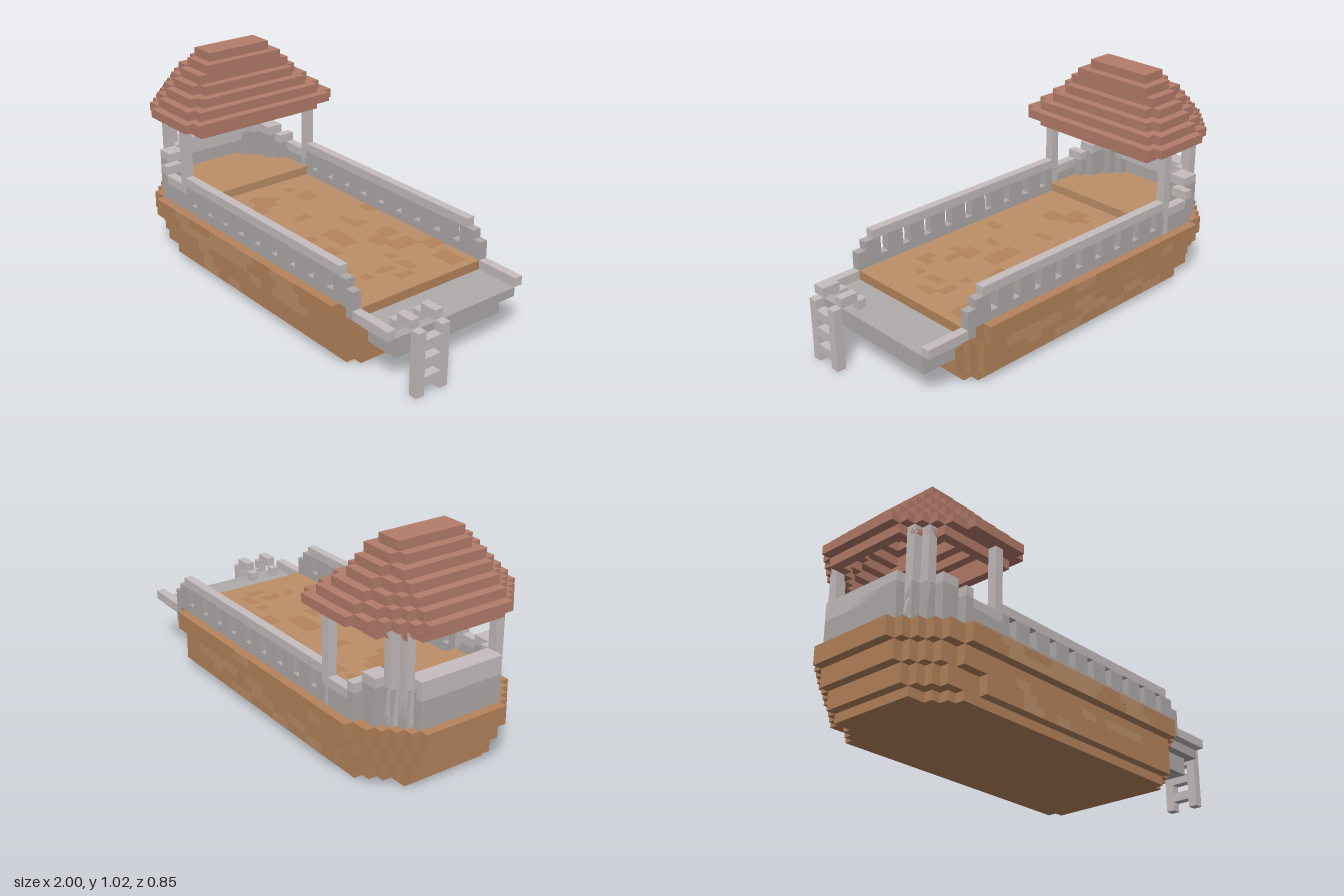
import * as THREE from 'three';

const U = 2 / 47; // one block; x counted from the bow (0..47), y from the ground, z from the centre line
const mat = (color) => new THREE.MeshStandardMaterial({ color, flatShading: true });

export function createModel() {
  const root = new THREE.Group();
  root.name = 'houseboat';
  const wood = mat(0xb5845c), lightWood = mat(0xbd8f69), tile = mat(0xb47c6a);
  const stone = mat(0xb0abaa), trim = mat(0xc6bebe);

  const group = (name) => {
    const g = new THREE.Group();
    g.name = name;
    root.add(g);
    return g;
  };
  const add = (parent, name, geo, material) => {
    const m = new THREE.Mesh(geo, material);
    m.name = name;
    parent.add(m);
    return m;
  };
  // box between block coordinates
  const box = (parent, name, material, x0, x1, y0, y1, z0, z1) => {
    const geo = new THREE.BoxGeometry((x1 - x0) * U, (y1 - y0) * U, (z1 - z0) * U);
    geo.translate(((x0 + x1) / 2) * U - 1, ((y0 + y1) / 2) * U, ((z0 + z1) / 2) * U);
    return add(parent, name, geo, material);
  };
  const pair = (parent, name, material, x0, x1, y0, y1, z0, z1) => {
    box(parent, name, material, x0, x1, y0, y1, z0, z1);
    box(parent, name, material, x0, x1, y0, y1, -z1, -z0);
  };
  // stepped outline from half-widths: steps = [[xStart, halfWidth], ...]
  const outline = (steps, end) => {
    const top = [];
    steps.forEach(([x, w], i) => {
      const next = i + 1 < steps.length ? steps[i + 1][0] : end;
      top.push(new THREE.Vector2(x * U - 1, w * U), new THREE.Vector2(next * U - 1, w * U));
    });
    return [...top.map((p) => new THREE.Vector2(p.x, -p.y)), ...top.reverse()];
  };
  const slab = (parent, name, material, steps, end, y0, y1, hole) => {
    const shape = new THREE.Shape(outline(steps, end));
    if (hole) shape.holes.push(new THREE.Path(outline(hole.steps, hole.end)));
    const geo = new THREE.ExtrudeGeometry(shape, { depth: (y1 - y0) * U, bevelEnabled: false });
    geo.rotateX(-Math.PI / 2);
    geo.translate(0, y0 * U, 0);
    return add(parent, name, geo, material);
  };

  // hull: stacked layers that widen upward
  const hull = group('hull');
  slab(hull, 'keelLayer', wood, [[3, 5], [5, 6], [6, 7], [7, 8], [38, 7]], 39, 0, 1);
  slab(hull, 'lowerLayer', wood, [[2, 5], [3, 6], [4, 7], [5, 8], [9, 9], [38, 8], [39, 7]], 40, 1, 3);
  slab(hull, 'middleLayer', wood, [[1, 5], [2, 6], [3, 7], [4, 8], [6, 9], [38, 8], [39, 7]], 40, 3, 5);
  slab(hull, 'gunwaleLayer', wood,
    [[0, 5], [1, 6], [2, 7], [3, 8], [4, 9], [6, 10], [38, 9], [39, 8]], 40, 5, 7);

  // decks
  const decks = group('decks');
  box(decks, 'mainDeck', lightWood, 11, 40, 6.9, 7.02, -8, 8);
  slab(decks, 'cabinDeck', lightWood, [[2, 5], [3, 6], [4, 7], [6, 8]], 11, 7, 8);

  // scattered plank patches in the second wood tone
  let seed = 7;
  const rand = (n) => {
    seed = (seed * 16807) % 2147483647;
    return seed % n;
  };
  const patches = group('plankPatches');
  for (let n = 0; n < 34; n++) {
    const x = 13 + rand(25), z = -8 + rand(14);
    box(patches, 'deckPatch', wood, x, x + 1 + rand(2), 7, 7.04, z, z + 1 + rand(2));
  }
  for (const side of [-1, 1]) {
    for (let n = 0; n < 18; n++) {
      const x = 10 + rand(24), y = 1 + rand(6), z = side * (y < 5 ? 9 : 10);
      box(patches, 'hullPatch', lightWood, x, x + 2 + rand(3), y, y + 1, z - 0.02, z + 0.02);
    }
  }

  // bow bulwark, one step per column, with a lighter cap
  const bulwark = group('bowBulwark');
  box(bulwark, 'bowWall', stone, 1, 2, 7, 11, -5, 5);
  box(bulwark, 'bowShelf', trim, 1, 3, 10, 12, -5, 5);
  const columns = [[2, 3, 4, 6, 12], [3, 4, 5, 7, 12], [4, 6, 6, 8, 12], [6, 7, 7, 9, 11], [7, 11, 8, 9, 10]];
  for (const [x0, x1, z0, z1, top] of columns) {
    pair(bulwark, 'bulwarkWall', stone, x0, x1, 7, top - 1, z0, z1);
    pair(bulwark, 'bulwarkCap', trim, x0, x1, top - 1, top, z0, z1);
  }

  // side railings with a row of narrow openings
  const rails = group('sideRailings');
  const P = (x, y) => new THREE.Vector2(x * U - 1, y * U);
  const rect = (x0, x1, y0, y1) => [P(x0, y0), P(x1, y0), P(x1, y1), P(x0, y1)];
  const railShape = new THREE.Shape(rect(11, 38, 7, 10));
  for (let x = 12; x <= 36; x += 3) railShape.holes.push(new THREE.Path(rect(x, x + 1, 8, 10)));
  for (const z of [8, -9]) {
    const geo = new THREE.ExtrudeGeometry(railShape, { depth: U, bevelEnabled: false });
    geo.translate(0, 0, z * U);
    add(rails, 'railing', geo, stone);
  }
  pair(rails, 'handrail', trim, 11, 38, 10, 11, 8, 9);
  pair(rails, 'railStepUpper', stone, 38, 39, 7, 10, 8, 9);
  pair(rails, 'railStepLower', stone, 39, 40, 6, 9, 8, 9);

  // stern platform
  const platform = group('sternPlatform');
  box(platform, 'platformFloor', stone, 40, 45, 5, 6, -8, 8);
  box(platform, 'platformSupport', stone, 40, 44, 3, 5, -7, 7);
  pair(platform, 'platformRim', trim, 40, 45, 6, 7, 8, 9);

  // boarding ladder hooked over the platform
  const ladder = group('ladder');
  for (const z of [3, 6]) {
    box(ladder, 'ladderRail', trim, 46, 47, 0, 7, z, z + 1);
    box(ladder, 'ladderHook', trim, 44, 46, 7, 8, z, z + 1);
    box(ladder, 'hookTip', trim, 43, 44, 6, 7, z, z + 1);
  }
  for (const y of [1, 3, 5]) box(ladder, 'rung', trim, 46, 47, y, y + 1, 4, 6);

  // roof posts
  const posts = group('roofPosts');
  pair(posts, 'bowPost', trim, 2, 3, 7, 17, 5, 6);
  pair(posts, 'bowPost', trim, 3, 4, 7, 17, 6, 7);
  pair(posts, 'sternPost', trim, 10, 11, 7, 17, 8, 9);

  // hollow stepped roof: every layer is the lowest outline pulled in by one block
  const roof = group('roof');
  const base = [[0, 5], [1, 6], [2, 7], [3, 8], [4, 9], [6, 10], [13, 9]];
  const ends = [14, 13, 12, 11, 10, 10, 9];
  const inset = (m) => {
    const steps = base.filter(([x]) => x >= m && x < 13).map(([x, w]) => [x, w - m]);
    if (steps[0][0] > m) steps.unshift([m, 10 - m - 1]);
    if (m < 4) steps.push([ends[m] - 1, 9 - m]);
    return { steps, end: ends[m] };
  };
  for (let m = 0; m < 7; m++) {
    const o = inset(m);
    const hole = m < 5 ? inset(m + 2) : null;
    if (hole) hole.end = Math.min(hole.end, o.end - 1);
    slab(roof, 'roofLayer', tile, o.steps, o.end, 17 + m, 18 + m, hole);
  }
  slab(roof, 'eaveBeam', tile, [[1, 5], [2, 6], [3, 7], [4, 8]], 13, 16, 17,
    { steps: [[2, 4], [3, 5], [4, 6], [5, 7]], end: 12 });

  return root;
}
